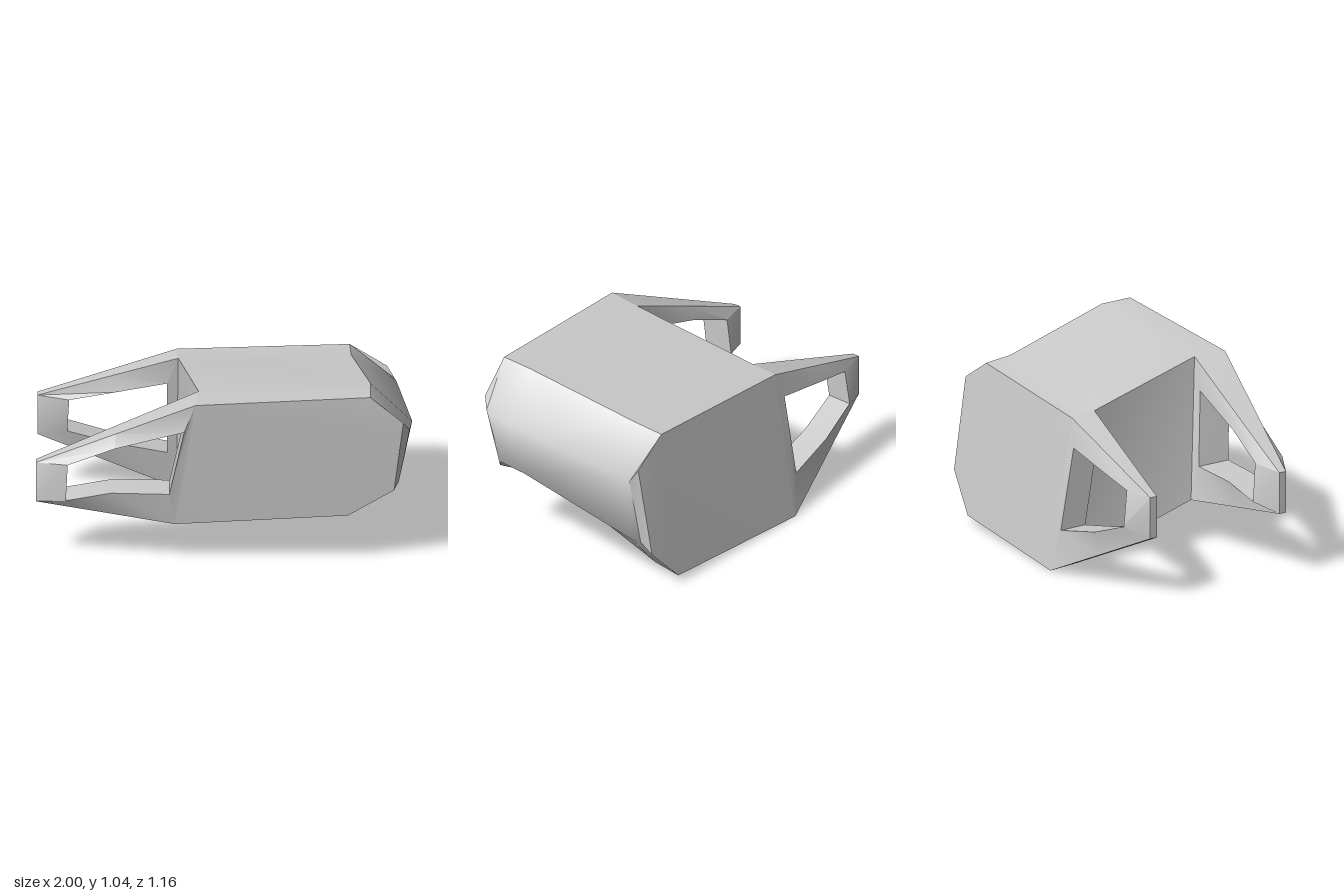
import * as THREE from 'three';
import { mergeVertices, toCreasedNormals } from 'three/addons/utils/BufferGeometryUtils.js';

const material = new THREE.MeshStandardMaterial({ color: 0xcccccc });

// Collects triangles, dropping those that collapse to a line
function addTri(out, a, b, c) {
  const [p, q, r] = [a, b, c].map((v) => new THREE.Vector3(...v));
  if (q.sub(p).cross(r.sub(p)).length() > 1e-7) out.push(...a, ...b, ...c);
}

function addQuad(out, a, b, c, d) {
  addTri(out, a, b, c);
  addTri(out, a, c, d);
}

// Joins two rings of points, over columns from..to (wrapping round)
function addStrip(out, ringA, ringB, from = 0, to = ringA.length) {
  const n = ringA.length;
  for (let j = from; j < to; j++) {
    const k = (j + 1) % n;
    addQuad(out, ringA[j], ringB[j], ringB[k], ringA[k]);
  }
}

function addCap(out, ring) {
  for (let j = 1; j < ring.length - 1; j++) addTri(out, ring[0], ring[j], ring[j + 1]);
}

function makeMesh(name, points, smooth = false) {
  let geometry = new THREE.BufferGeometry();
  geometry.setAttribute('position', new THREE.Float32BufferAttribute(points, 3));
  if (smooth) {
    geometry = mergeVertices(geometry);
    geometry.computeVertexNormals();
  } else {
    geometry = toCreasedNormals(geometry, 0.45);
  }
  const mesh = new THREE.Mesh(geometry, material);
  mesh.name = name;
  return mesh;
}

// Cross-sections, front to back: top left corner, bottom left, bottom right,
// lower bulge, upper bulge, top right
const front = [[-0.15, 1.0, 0.582], [-0.26, 0.25, 0.486], [0.66, 0.307, 0.49],
  [0.905, 0.46, 0.495], [0.955, 0.89, 0.558], [0.78, 1.045, 0.568]];
const frontInner = [[-0.135, 0.995, 0.4], [-0.26, 0.245, 0.3], [0.66, 0.3, 0.31],
  [0.93, 0.49, 0.31], [1.0, 0.81, 0.37], [0.78, 1.04, 0.39]];
const backInner = [[-0.25, 0.845, -0.3], [-0.26, 0.015, -0.43], [0.66, 0.07, -0.37],
  [0.89, 0.33, -0.39], [0.91, 0.7, -0.33], [0.67, 0.895, -0.25]];
const back = [[-0.26, 0.83, -0.445], [-0.26, 0.002, -0.582], [0.66, 0.047, -0.525],
  [0.845, 0.25, -0.495], [0.86, 0.75, -0.413], [0.66, 0.88, -0.41]];

// Same section with its two bulge points moved out, leaving a narrow bevel
const bulge = (ring, lower, upper) => [...ring.slice(0, 3), lower, upper, ring[5]];

function makeBody() {
  const body = new THREE.Group();
  body.name = 'body';
  const frontBevel = bulge(front, [0.93, 0.5, 0.47], [0.988, 0.83, 0.52]);
  const backBevel = bulge(back, [0.872, 0.32, -0.44], [0.9, 0.69, -0.385]);
  const rings = [frontBevel, frontInner, backInner, backBevel];

  // Flat faces, bevels and end faces
  const shell = [];
  addCap(shell, front);
  addCap(shell, [...back].reverse());
  addStrip(shell, front, frontBevel, 2, 5);
  addStrip(shell, backBevel, back, 2, 5);
  const side = [];
  for (let i = 0; i < rings.length - 1; i++) {
    addStrip(shell, rings[i], rings[i + 1], 0, 2);
    addStrip(shell, rings[i], rings[i + 1], 5, 6);
    addStrip(side, rings[i], rings[i + 1], 2, 5);
  }
  body.add(makeMesh('bodyShell', shell), makeMesh('roundedSide', side, true));
  return body;
}

// Outline of one face of a prong, from its root on the body out to the tip
function outline(section, tipZ) {
  const [top, bottom] = section;
  const tipTop = [-1, 0.585, tipZ], tipBottom = [-1, 0.355, tipZ];
  const middle = (p, q) => p.map((v, i) => (v + q[i]) / 2);
  return [top, middle(top, tipTop), tipTop, tipBottom, middle(bottom, tipBottom), bottom];
}

// Tapered prong with a window: four rings joined into a closed frame
function makeProng(name, frontOutline, frontWindow, backOutline, backWindow) {
  const points = [];
  const rings = [frontWindow, frontOutline, backOutline, backWindow];
  rings.forEach((ring, i) => addStrip(points, ring, rings[(i + 1) % 4]));
  return makeMesh(name, points);
}

export function createModel() {
  const model = new THREE.Group();
  model.name = 'model';
  model.add(makeBody());

  // Window corners run along the top to the tip and return along the bottom
  model.add(makeProng('frontProng',
    outline(front, 0.432),
    [[-0.21, 0.835, 0.572], [-0.58, 0.72, 0.54], [-0.83, 0.61, 0.515],
      [-0.84, 0.39, 0.495], [-0.6, 0.44, 0.503], [-0.29, 0.44, 0.515]],
    outline(frontInner, 0.39),
    [[-0.21, 0.825, 0.388], [-0.58, 0.71, 0.365], [-0.83, 0.6, 0.345],
      [-0.84, 0.39, 0.325], [-0.6, 0.435, 0.325], [-0.29, 0.435, 0.33]]));
  model.add(makeProng('backProng',
    outline(backInner, -0.378),
    [[-0.31, 0.685, -0.32], [-0.58, 0.635, -0.315], [-0.83, 0.585, -0.32],
      [-0.84, 0.39, -0.345], [-0.6, 0.305, -0.375], [-0.31, 0.24, -0.395]],
    outline(back, -0.42),
    [[-0.31, 0.68, -0.468], [-0.58, 0.63, -0.465], [-0.83, 0.585, -0.46],
      [-0.84, 0.39, -0.485], [-0.6, 0.3, -0.52], [-0.31, 0.235, -0.548]]));
  return model;
}
